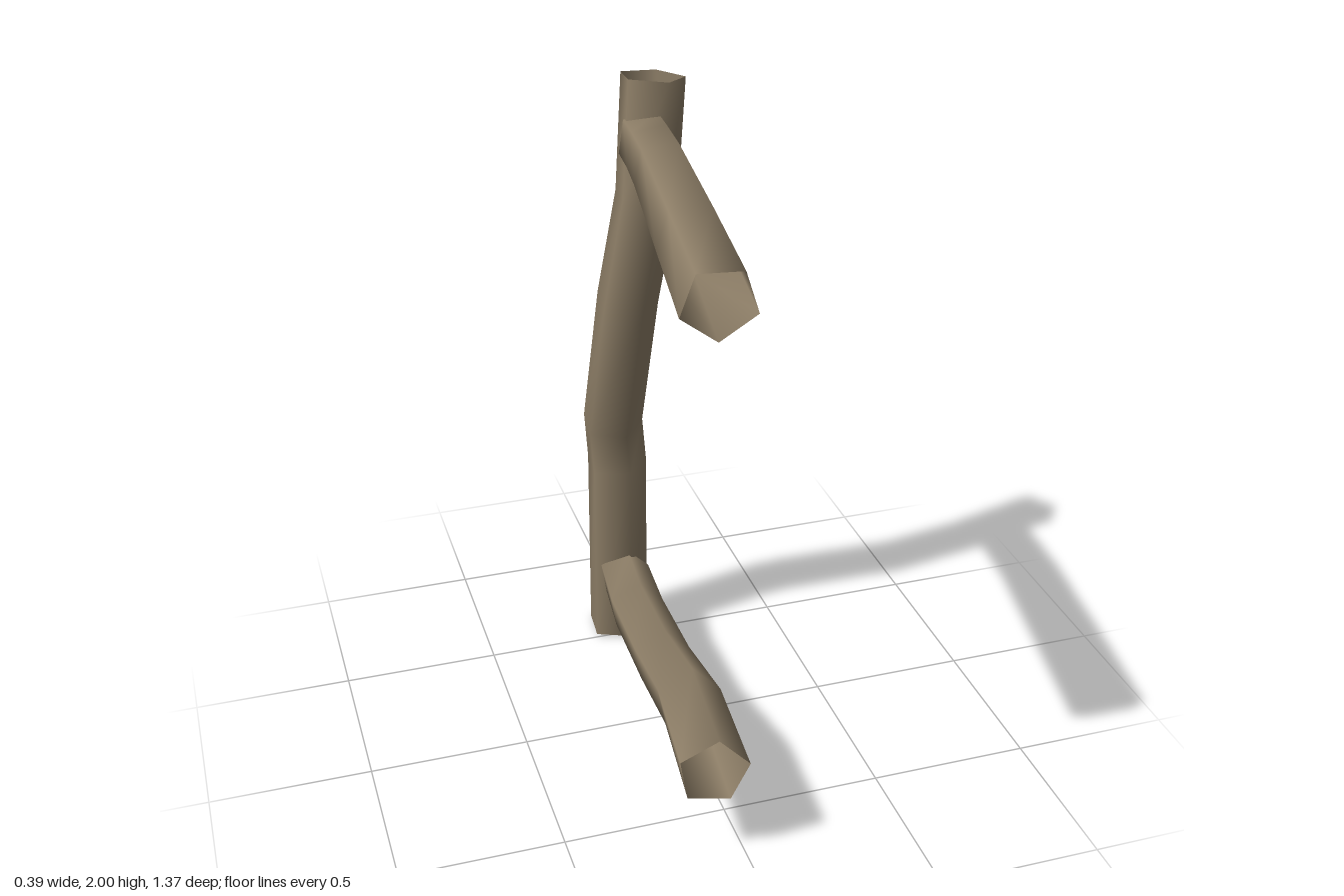
import * as THREE from 'three';

const SIDES = 5;

// Open five-sided branch swept through rings of [x, y, z, radius, angle in degrees]
function branch(rings) {
  const centres = rings.map(([x, y, z]) => new THREE.Vector3(x, y, z));
  const positions = [];
  const index = [];
  rings.forEach(([, , , radius, angle], i) => {
    // Direction along the branch, averaged at the bends
    const dir = new THREE.Vector3();
    if (i > 0) dir.add(centres[i].clone().sub(centres[i - 1]).normalize());
    if (i < rings.length - 1) dir.add(centres[i + 1].clone().sub(centres[i]).normalize());
    dir.normalize();
    const u = new THREE.Vector3(1, 0, 0);
    u.addScaledVector(dir, -u.dot(dir)).normalize();
    const v = dir.clone().cross(u);
    for (let k = 0; k < SIDES; k++) {
      const a = THREE.MathUtils.degToRad(angle) + (k / SIDES) * Math.PI * 2;
      const p = centres[i].clone()
        .addScaledVector(u, Math.cos(a) * radius)
        .addScaledVector(v, Math.sin(a) * radius);
      positions.push(p.x, p.y, p.z);
      if (i < rings.length - 1) {
        const n = (k + 1) % SIDES;
        const r = i * SIDES;
        const s = r + SIDES;
        index.push(r + k, r + n, s + n, r + k, s + n, s + k);
      }
    }
  });
  const geometry = new THREE.BufferGeometry();
  geometry.setAttribute('position', new THREE.Float32BufferAttribute(positions, 3));
  geometry.setIndex(index);
  geometry.computeVertexNormals();
  return geometry;
}

export function createModel() {
  const wood = new THREE.MeshStandardMaterial({ color: 0x8c7d66, side: THREE.DoubleSide });
  wood.name = 'weathered wood';

  const parts = {
    // Upright grip, bottom to top
    uprightBranch: [
      [-0.04, 0.01, -0.56, 0.105, -5],
      [-0.03, 0.65, -0.585, 0.104, -5],
      [-0.045, 0.81, -0.57, 0.103, -5],
      [-0.01, 1.28, -0.49, 0.103, -5],
      [0.057, 1.62, -0.497, 0.103, -5],
      [0.09, 1.99, -0.53, 0.105, -5],
    ],
    // Arms, back to front
    upperArm: [
      [0.05, 1.815, -0.48, 0.09, -8],
      [0.04, 1.815, -0.35, 0.091, -9],
      [0.01, 1.83, -0.15, 0.093, -11],
      [-0.045, 1.805, 0.29, 0.102, -15],
      [-0.095, 1.783, 0.68, 0.108, -18],
    ],
    lowerArm: [
      [-0.03, 0.255, -0.51, 0.088, 9],
      [-0.038, 0.225, -0.33, 0.094, 9],
      [-0.04, 0.225, -0.03, 0.097, 9],
      [-0.053, 0.293, 0.3, 0.105, 9],
      [-0.095, 0.308, 0.68, 0.11, 9],
    ],
  };

  const group = new THREE.Group();
  group.name = 'branchHandle';
  for (const [name, rings] of Object.entries(parts)) {
    const mesh = new THREE.Mesh(branch(rings), wood);
    mesh.name = name;
    group.add(mesh);
  }
  return group;
}
